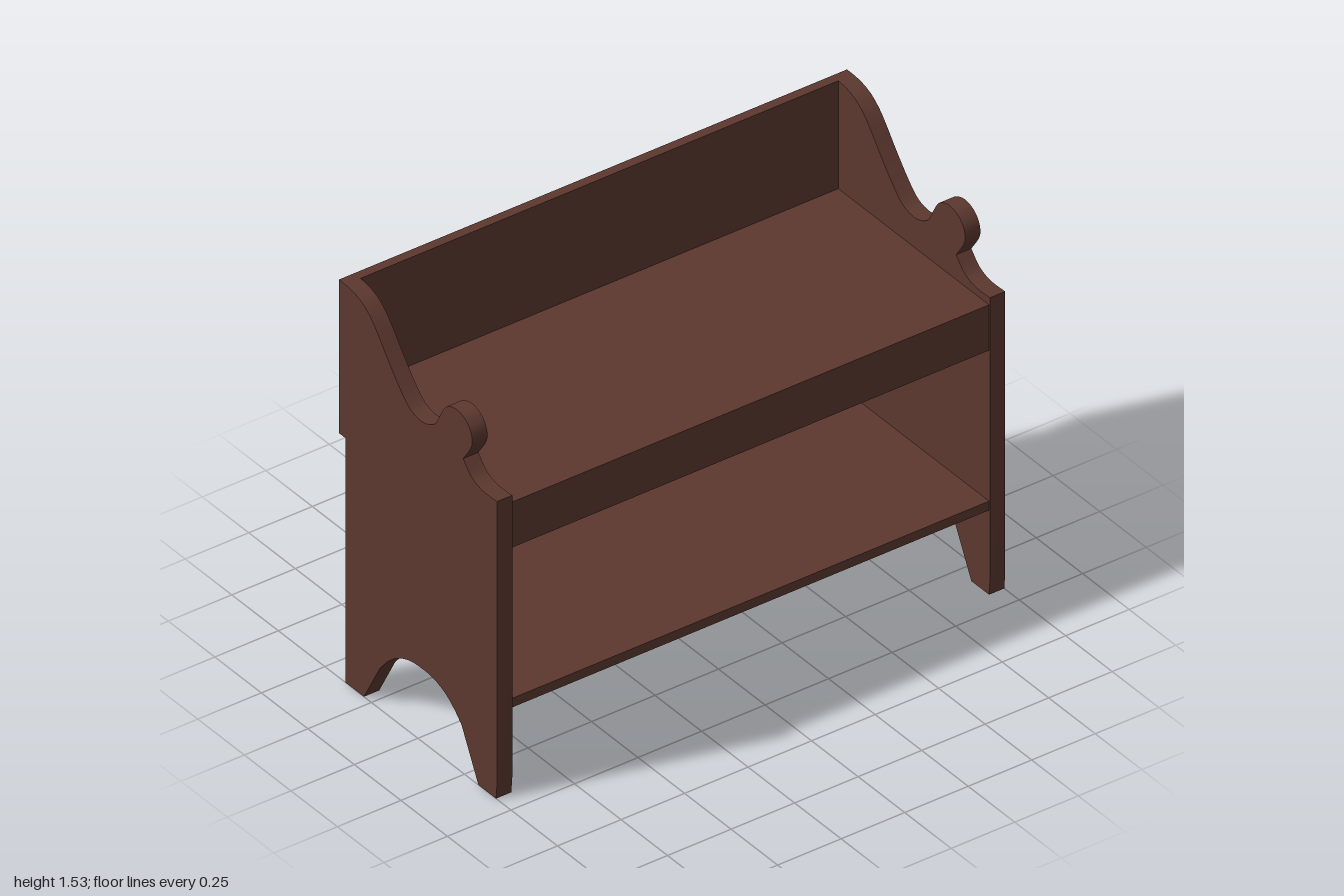
import * as THREE from 'three';
import { toCreasedNormals } from 'three/addons/utils/BufferGeometryUtils.js';

const wood = new THREE.MeshStandardMaterial({ color: 0x5c382f });
wood.name = 'darkBrownWood';

const v = (pairs) => pairs.map(([z, y]) => new THREE.Vector2(z, y));

// Side panel outline, drawn as (z, y): arched feet below, scrolled arm above
function panelShape() {
  const s = new THREE.Shape();
  s.moveTo(-0.39, 0);
  s.lineTo(-0.39, 1.53);
  // sweep down from the back, through the dip
  s.splineThru(v([[-0.345, 1.525], [-0.295, 1.508], [-0.25, 1.475], [-0.21, 1.43], [-0.155, 1.36],
    [-0.09, 1.285], [-0.04, 1.243], [0.015, 1.23], [0.06, 1.24], [0.095, 1.262]]));
  // round knob
  s.splineThru(v([[0.14, 1.345], [0.17, 1.37], [0.21, 1.38], [0.25, 1.37], [0.282, 1.34],
    [0.292, 1.3], [0.28, 1.265], [0.243, 1.21]]));
  // front hollow
  s.splineThru(v([[0.225, 1.193], [0.255, 1.18], [0.29, 1.163], [0.35, 1.144], [0.425, 1.145]].slice(2)));
  s.lineTo(0.425, 0.06);
  s.lineTo(0.42, 0);
  s.lineTo(0.325, 0);
  s.lineTo(0.235, 0.18);
  // foot arch
  s.splineThru(v([[0.195, 0.22], [0.145, 0.255], [0.08, 0.277], [0.02, 0.28], [-0.04, 0.275],
    [-0.105, 0.25], [-0.16, 0.207], [-0.205, 0.155]]));
  s.lineTo(-0.29, 0);
  s.closePath();
  return s;
}

function createPanel(name, outerX) {
  const geo = new THREE.ExtrudeGeometry(panelShape(), { depth: 0.06, bevelEnabled: false, curveSegments: 3 });
  geo.rotateY(-Math.PI / 2);
  geo.translate(outerX, 0, 0);
  const mesh = new THREE.Mesh(toCreasedNormals(geo, 0.5), wood);
  mesh.name = name;
  return mesh;
}

// Board given by its extents on each axis
function board(name, [x0, x1], [y0, y1], [z0, z1]) {
  const mesh = new THREE.Mesh(new THREE.BoxGeometry(x1 - x0, y1 - y0, z1 - z0), wood);
  mesh.position.set((x0 + x1) / 2, (y0 + y1) / 2, (z0 + z1) / 2);
  mesh.name = name;
  return mesh;
}

export function createModel() {
  const group = new THREE.Group();
  group.name = 'bench';
  const inner = [-0.94, 0.94];
  group.add(
    createPanel('leftSidePanel', 1),
    createPanel('rightSidePanel', -0.94),
    board('backBoard', [-1, 1], [0.94, 1.53], [-0.425, -0.39]),
    board('seat', inner, [1.075, 1.115], [-0.39, 0.385]),
    board('frontApron', inner, [0.94, 1.115], [0.385, 0.42]),
    board('lowerShelf', inner, [0.325, 0.36], [-0.39, 0.42]),
  );
  return group;
}
